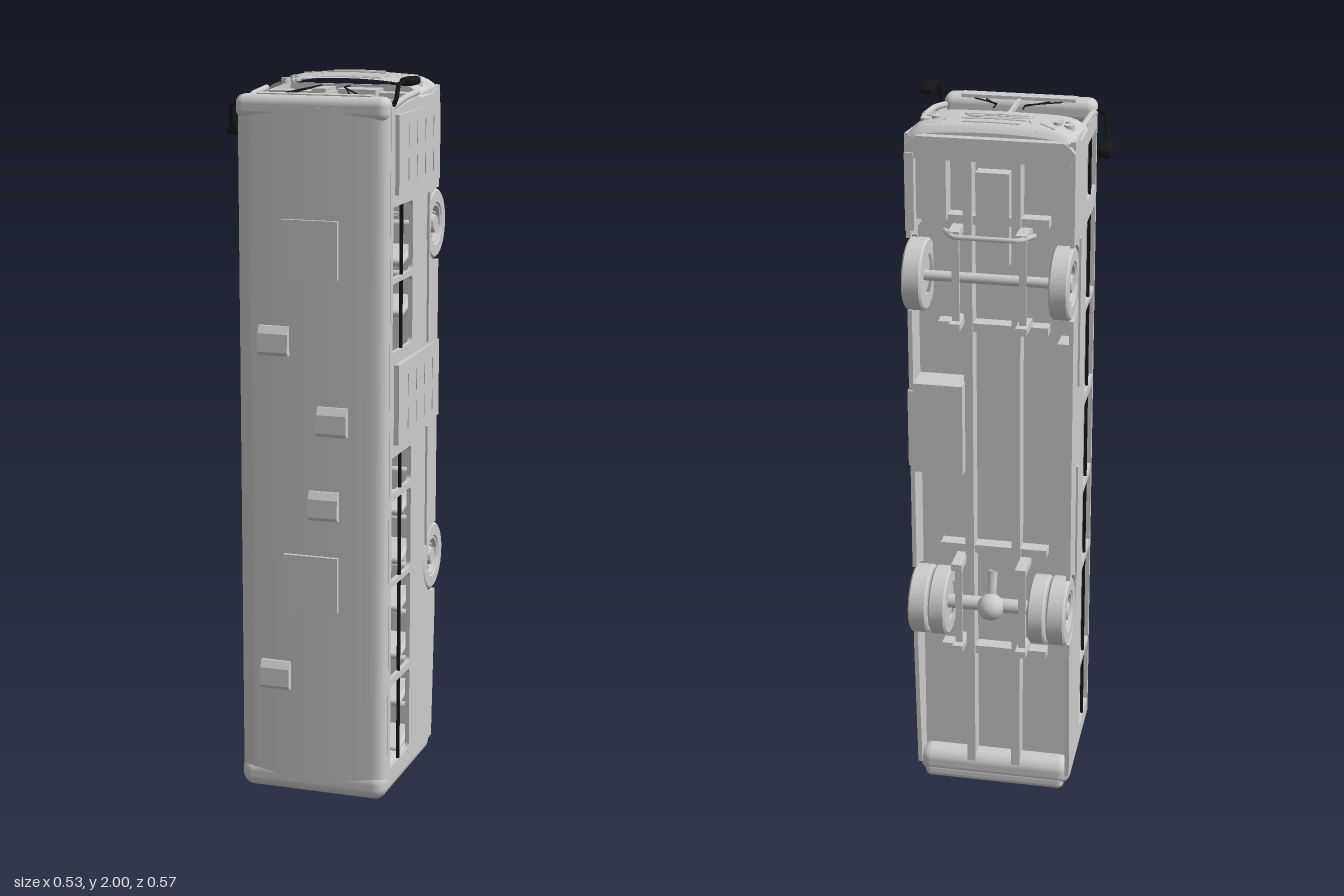
import * as THREE from 'three';
import { toCreasedNormals } from 'three/addons/utils/BufferGeometryUtils.js';
import { RoundedBoxGeometry } from 'three/addons/geometries/RoundedBoxGeometry.js';

const grey = new THREE.MeshStandardMaterial({ color: 0xcccccc, side: THREE.DoubleSide });
const black = new THREE.MeshStandardMaterial({ color: 0x161616 });
const V = (x, y, z) => new THREE.Vector3(x, y, z);

function add(parent, name, geo, x = 0, y = 0, z = 0, mat = grey) {
  const m = new THREE.Mesh(geo, mat);
  m.name = name;
  m.position.set(x, y, z);
  parent.add(m);
  return m;
}
// box given by its limits on each axis
const block = (p, name, x0, x1, y0, y1, z0, z1, mat) =>
  add(p, name, new THREE.BoxGeometry(x1 - x0, y1 - y0, z1 - z0), (x0 + x1) / 2, (y0 + y1) / 2, (z0 + z1) / 2, mat);
const rounded = (p, name, x0, x1, y0, y1, z0, z1, r, mat) =>
  add(p, name, new RoundedBoxGeometry(x1 - x0, y1 - y0, z1 - z0, 4, r), (x0 + x1) / 2, (y0 + y1) / 2, (z0 + z1) / 2, mat);
const tube = (p, name, pts, r, mat) =>
  add(p, name, new THREE.TubeGeometry(new THREE.CatmullRomCurve3(pts, false, 'catmullrom', 0.1), pts.length * 6, r, 8), 0, 0, 0, mat);
const disc = (p, name, r, h, x, y, z, axis = 'y') => {
  const g = new THREE.CylinderGeometry(r, r, h, 24);
  if (axis === 'x') g.rotateZ(Math.PI / 2);
  return add(p, name, g, x, y, z);
};

const FRONT = 1.571, REAR = 0.603, AXLE = -0.187, HALF = 0.224;
// the walls lean inward towards the roof
const wallX = (z) => HALF - (z + 0.2) * 0.028;

// rounded window outline in (z, y)
function windowPath(y0, y1, z0 = 0.035, z1 = 0.215, r = 0.014) {
  const p = new THREE.Path();
  p.absarc(z0 + r, y0 + r, r, Math.PI, Math.PI * 1.5);
  p.absarc(z1 - r, y0 + r, r, Math.PI * 1.5, Math.PI * 2);
  p.absarc(z1 - r, y1 - r, r, 0, Math.PI / 2);
  p.absarc(z0 + r, y1 - r, r, Math.PI / 2, Math.PI);
  p.closePath();
  return p;
}

// side wall with windows and wheel arches
function sideWall(parent, s, windows) {
  const sh = new THREE.Shape(), t = 0.012;
  sh.moveTo(-0.178, 0.055);
  for (const [z, y] of [[0.225, 0.055], [0.225, 1.925], [0.19, 1.918], [0, 1.94], [-0.2, 1.955]]) sh.lineTo(z, y);
  for (const y of [FRONT, REAR]) sh.absarc(AXLE, y, 0.102, 1.7, -1.7, true);
  sh.lineTo(-0.2, 0.45);
  sh.closePath();
  windows.forEach(([a, b]) => sh.holes.push(windowPath(a, b)));
  const g = new THREE.ExtrudeGeometry(sh, { depth: t, bevelEnabled: false, curveSegments: 16 });
  g.rotateY(-Math.PI / 2);
  g.translate(s > 0 ? 0 : t, 0, 0);
  const p = g.attributes.position;
  for (let i = 0; i < p.count; i++) p.setX(i, p.getX(i) + s * wallX(p.getZ(i)));
  g.computeVertexNormals();
  add(parent, s > 0 ? 'leftWall' : 'rightWall', g);
  for (const [a, b] of windows)
    block(parent, 'windowBar', s * 0.21 - 0.004, s * 0.21 + 0.004, a, b, 0.116, 0.124, black);
}

// rounded tail, following the lean of the walls and slightly bulged
function rearPanel(parent) {
  const g = new RoundedBoxGeometry(0.434, 0.08, 0.44, 6, 0.034), p = g.attributes.position;
  for (let i = 0; i < p.count; i++) {
    const x = p.getX(i), y = p.getY(i), z = p.getZ(i);
    if (y < 0) p.setY(i, y - 0.008 * (1 - Math.pow(x / 0.217, 2)));
    p.setX(i, x * (1 - z * 0.028 / 0.217));
  }
  add(parent, 'rearPanel', g, 0, 0.055, 0.0425);
}

function wheel(parent, x, y, s, w) {
  const g = new THREE.Group();
  g.name = 'wheel';
  const pts = [[0.055, -w], [0.091, -w], [0.097, -w + 0.005], [0.097, w - 0.005], [0.091, w],
    [0.06, w], [0.056, w - 0.004], [0.05, w - 0.004], [0.046, w - 0.02], [0.028, w - 0.018], [0.023, w - 0.002], [0.001, w - 0.002]];
  const lathe = new THREE.LatheGeometry(pts.map(([r, h]) => new THREE.Vector2(r, h)), 40);
  lathe.rotateZ(-Math.PI / 2);
  add(g, 'tyreAndRim', toCreasedNormals(lathe, 0.5));
  disc(g, 'rimBack', 0.056, 0.004, -0.015, 0, 0, 'x');
  for (let i = 0; i < 8; i++) {
    const a = i * Math.PI / 4;
    disc(g, 'wheelNut', 0.004, 0.008, w - 0.016, Math.cos(a) * 0.037, Math.sin(a) * 0.037, 'x');
  }
  g.position.set(x, y, AXLE);
  if (s < 0) g.rotation.y = Math.PI;
  parent.add(g);
}

// height of the bowed nose at a given place
function noseY(x, z) {
  const u = Math.abs(x) / HALF;
  const bump = 0.009 * (1 - THREE.MathUtils.smoothstep(z, -0.137, -0.127));
  const curl = 0.02 * Math.pow(Math.max(0, 1 - (z + 0.205) * 40), 2);
  return 1.979 + bump - curl - 0.014 * u * u - 0.03 * Math.pow(u, 10);
}

function frontMask(parent) {
  // bumper below, headlight band above
  const g = new THREE.PlaneGeometry(2, 1, 32, 32), p = g.attributes.position;
  for (let i = 0; i < p.count; i++) {
    const u = p.getX(i), top = -0.032 + 0.03 * u * u;
    const z = -0.205 + (0.5 - p.getY(i)) * (top + 0.205);
    p.setXYZ(i, u * HALF, noseY(u * HALF, z), z);
  }
  g.computeVertexNormals();
  add(parent, 'frontMask', g);
  block(parent, 'bumperUnderside', -0.212, 0.212, 1.89, 1.95, -0.203, -0.193);
  const onNose = (x, z) => V(x, noseY(x, z) + 0.001, z);
  for (const s of [-1, 1]) {
    for (const [x, z, r] of [[0.19, -0.097, 0.014], [0.16, -0.1, 0.012], [0.183, -0.075, 0.007], [0.165, -0.08, 0.006]])
      disc(parent, 'headlight', r, 0.016, s * x, noseY(x, z), z);
    tube(parent, 'bumperCrease', [onNose(s * 0.125, -0.198), onNose(s * 0.095, -0.14), onNose(s * 0.088, -0.12)], 0.003);
    tube(parent, 'bumperCrease', [onNose(s * 0.125, -0.15), onNose(s * 0.165, -0.18)], 0.002);
  }
  for (const [w, z] of [[0.075, -0.176], [0.085, -0.14]])
    tube(parent, 'lowerIntake', [onNose(-w, z), onNose(0, z), onNose(w, z)], 0.003);
  tube(parent, 'grilleArch', [[-0.09, -0.065], [-0.075, -0.085], [-0.04, -0.097], [0.04, -0.097], [0.075, -0.085], [0.09, -0.065]].map(([x, z]) => onNose(x, z)), 0.003);
  for (const z of [-0.08, -0.066]) tube(parent, 'grilleBar', [onNose(-0.08, z), onNose(0, z), onNose(0.08, z)], 0.002);
}

function seat(parent, x, y) {
  const g = new THREE.Group();
  g.name = 'seat';
  rounded(g, 'seatCushion', -0.04, 0.04, 0, 0.075, -0.07, -0.045, 0.01);
  rounded(g, 'seatBack', -0.04, 0.04, -0.02, 0, -0.065, 0.075, 0.009).rotation.x = 0.22;
  block(g, 'seatLeg', -0.03, 0.03, 0.02, 0.05, -0.11, -0.06);
  g.position.set(x, y, 0);
  parent.add(g);
}

export function createModel() {
  const model = new THREE.Group();
  model.name = 'bus';
  const b = new THREE.Group();
  b.name = 'body';
  b.position.x = 0.01;
  model.add(b);

  // shell
  sideWall(b, 1, [[0.095, 0.335], [0.355, 0.62], [0.635, 0.865], [0.885, 0.985], [1.275, 1.46], [1.475, 1.665]]);
  sideWall(b, -1, [[0.095, 0.295], [0.31, 0.615], [0.635, 0.86], [0.88, 1.13], [1.16, 1.41], [1.425, 1.665], [1.72, 1.88]]);
  const roof = new THREE.Shape();
  roof.moveTo(-0.213, -0.205);
  roof.bezierCurveTo(-0.211, -0.25, -0.2, -0.258, -0.16, -0.26);
  roof.quadraticCurveTo(0, -0.268, 0.16, -0.26);
  roof.bezierCurveTo(0.2, -0.258, 0.211, -0.25, 0.213, -0.205);
  roof.lineTo(0.2, -0.205);
  roof.quadraticCurveTo(0.2, -0.245, 0.16, -0.248);
  roof.lineTo(-0.16, -0.248);
  roof.quadraticCurveTo(-0.2, -0.245, -0.2, -0.205);
  const roofGeo = new THREE.ExtrudeGeometry(roof, { depth: 1.87, bevelEnabled: false, curveSegments: 12 });
  roofGeo.rotateX(-Math.PI / 2);
  add(b, 'roof', roofGeo, 0, 0.055, 0);
  rearPanel(b);
  rounded(b, 'rearBumper', -0.205, 0.205, 0.004, 0.05, -0.177, -0.12, 0.018);
  rounded(b, 'frontBrow', -0.211, 0.211, 1.89, 1.954, 0.192, 0.263, 0.024);
  block(b, 'signPanel', -0.155, 0.16, 1.945, 1.957, 0.2, 0.238);
  block(b, 'floor', -0.214, 0.214, 0.06, 1.93, -0.125, -0.11);
  frontMask(b);

  // windscreen frame, dashboard and wipers
  for (const s of [-1, 1]) {
    tube(b, 'windscreenPillar', [V(s * 0.205, 1.925, 0.2), V(s * 0.212, 1.943, 0.1), V(s * 0.215, 1.95, -0.005)], 0.009);
    tube(b, 'wiper', [V(s * 0.12, 1.95, 0.19), V(s * 0.04, 1.965, 0.09), V(s * 0.04, 1.965, 0.04)], 0.002, black);
    tube(b, 'wiper', [V(s * 0.09, 1.95, 0.19), V(s * 0.04, 1.965, 0.08)], 0.002, black);
  }
  block(b, 'windscreenPost', -0.006, 0.004, 1.94, 1.952, -0.03, 0.2);
  block(b, 'dashboard', -0.205, 0.205, 1.87, 1.945, -0.05, 0.005);
  rounded(b, 'driverConsole', -0.205, -0.07, 1.88, 1.94, -0.04, 0.033, 0.012);
  block(b, 'instrumentBox', -0.07, -0.03, 1.88, 1.955, -0.05, 0.04);
  block(b, 'dashScreen', 0, 0.11, 1.89, 1.955, -0.04, 0.035);
  block(b, 'doorBox', 0.14, 0.175, 1.86, 1.93, 0, 0.045);
  const steer = add(b, 'steeringWheel', new THREE.TorusGeometry(0.04, 0.004, 8, 28), -0.12, 1.84, 0.04);
  steer.rotation.x = 0.5;

  // roof hatches and vents
  for (const y of [1.553, 0.633]) block(b, 'roofHatch', -0.075, 0.08, y - 0.078, y + 0.078, 0.25, 0.274);
  for (const [x, y] of [[-0.1, 1.303], [0.065, 1.09], [0.04, 0.855], [-0.1, 0.36]]) {
    const vent = new THREE.Shape([[-0.04, 0.25], [0.04, 0.25], [0.04, 0.27], [0.02, 0.282], [-0.03, 0.284], [-0.04, 0.276]].map(([a, z]) => new THREE.Vector2(z, a)));
    const g = new THREE.ExtrudeGeometry(vent, { depth: 0.084, bevelEnabled: false });
    g.rotateY(-Math.PI / 2);
    add(b, 'roofVent', g, x + 0.042, y, 0);
  }

  // doors on the entry side, with raised strips
  for (const [name, y0, y1, x1] of [['frontDoor', 1.695, 1.905, 0.224], ['middleDoor', 1.02, 1.24, 0.227]]) {
    block(b, name, 0.2, x1, y0, y1, -0.207, 0.19);
    for (let i = 0; i < 4; i++) for (const y of [y0 + 0.03, y0 + 0.12])
      block(b, 'doorStrip', x1 - 0.002, x1 + 0.002, y, y + 0.06, -0.14 + i * 0.08, -0.136 + i * 0.08);
  }
  block(b, 'stepBox', 0.075, 0.21, 1.005, 1.265, -0.212, -0.11);
  block(b, 'frontStepWell', 0.12, 0.205, 1.72, 1.9, -0.18, -0.11);
  for (const s of [-1, 1]) for (const [y0, y1] of [[0.66, 1.01], [1.25, 1.67]])
    block(b, 'rubRail', s * 0.223 - 0.004, s * 0.223 + 0.004, y0, y1, -0.108, -0.095);

  // seats, hand rails and poles
  for (let i = 0; i < 11; i++) {
    const y = 0.12 + i * 0.14;
    for (const s of [-1, 1]) {
      if (s > 0 && y > 0.9 && y < 1.25) continue;
      for (const x of [0.075, 0.16]) seat(b, s * x, y);
    }
  }
  seat(b, -0.12, 1.74);
  for (const s of [-1, 1]) {
    tube(b, 'handRail', [V(s * 0.1, 0.1, 0.225), V(s * 0.1, 1.7, 0.225)], 0.004);
    for (const y of [0.97, 1.28, 1.63]) tube(b, 'pole', [V(s * 0.06, y, -0.11), V(s * 0.06, y, 0.245)], 0.004);
    for (const z of [0.06, 0.11]) tube(b, 'partitionRail', [V(s * 0.06, 1.63, z), V(s * 0.2, 1.63, z)], 0.004);
  }

  // chassis
  for (const s of [-1, 1]) {
    block(b, 'chassisRail', s * 0.065 - 0.012, s * 0.065 + 0.012, 0.06, 1.93, -0.175, -0.12);
    for (const y of [FRONT, REAR]) {
      block(b, 'leafSpring', s * 0.09 - 0.01, s * 0.09 + 0.01, y - 0.13, y + 0.13, -0.212, -0.203);
      for (const d of [-0.128, 0.128]) block(b, 'springHanger', s * 0.09 - 0.015, s * 0.09 + 0.015, y + d - 0.01, y + d + 0.01, -0.236, -0.15);
    }
    wheel(b, s * 0.195, FRONT, s, 0.026);
    wheel(b, s * 0.195, REAR, s, 0.026);
    wheel(b, s * 0.14, REAR, s, 0.024);
  }
  for (const y of [0.44, 0.76, 1.42, 1.72]) block(b, 'crossMember', -0.15, 0.15, y - 0.012, y + 0.012, -0.165, -0.12);
  disc(b, 'frontAxle', 0.014, 0.36, 0, FRONT, -0.195, 'x');
  disc(b, 'rearAxle', 0.02, 0.3, 0, REAR, -0.19, 'x');
  add(b, 'differential', new THREE.SphereGeometry(0.038, 20, 14), 0, REAR, -0.205);
  tube(b, 'driveShaft', [V(0, REAR, -0.195), V(0, 0.7, -0.17)], 0.013);
  tube(b, 'stabilizerBar', [V(-0.12, 1.7, -0.2), V(-0.085, 1.7, -0.25), V(0.085, 1.7, -0.25), V(0.12, 1.7, -0.2)], 0.007);
  block(b, 'engine', -0.045, 0.045, 1.6, 1.85, -0.165, -0.11);
  block(b, 'fuelTank', -0.212, -0.18, 1.28, 1.4, -0.19, -0.12);

  // outside mirrors on curved arms
  rounded(model, 'rightMirror', -0.264, -0.226, 1.835, 1.862, 0.07, 0.155, 0.01, black);
  tube(model, 'rightMirrorArm', [V(-0.205, 1.935, 0.2), V(-0.228, 1.92, 0.203), V(-0.237, 1.88, 0.185), V(-0.243, 1.85, 0.15)], 0.006, black);
  rounded(model, 'leftMirror', 0.225, 0.263, 1.978, 2.0, 0.09, 0.17, 0.009, black);
  tube(model, 'leftMirrorArm', [V(0.22, 1.93, 0.2), V(0.23, 1.95, 0.207), V(0.232, 1.985, 0.195), V(0.24, 1.99, 0.16)], 0.006, black);
  return model;
}
